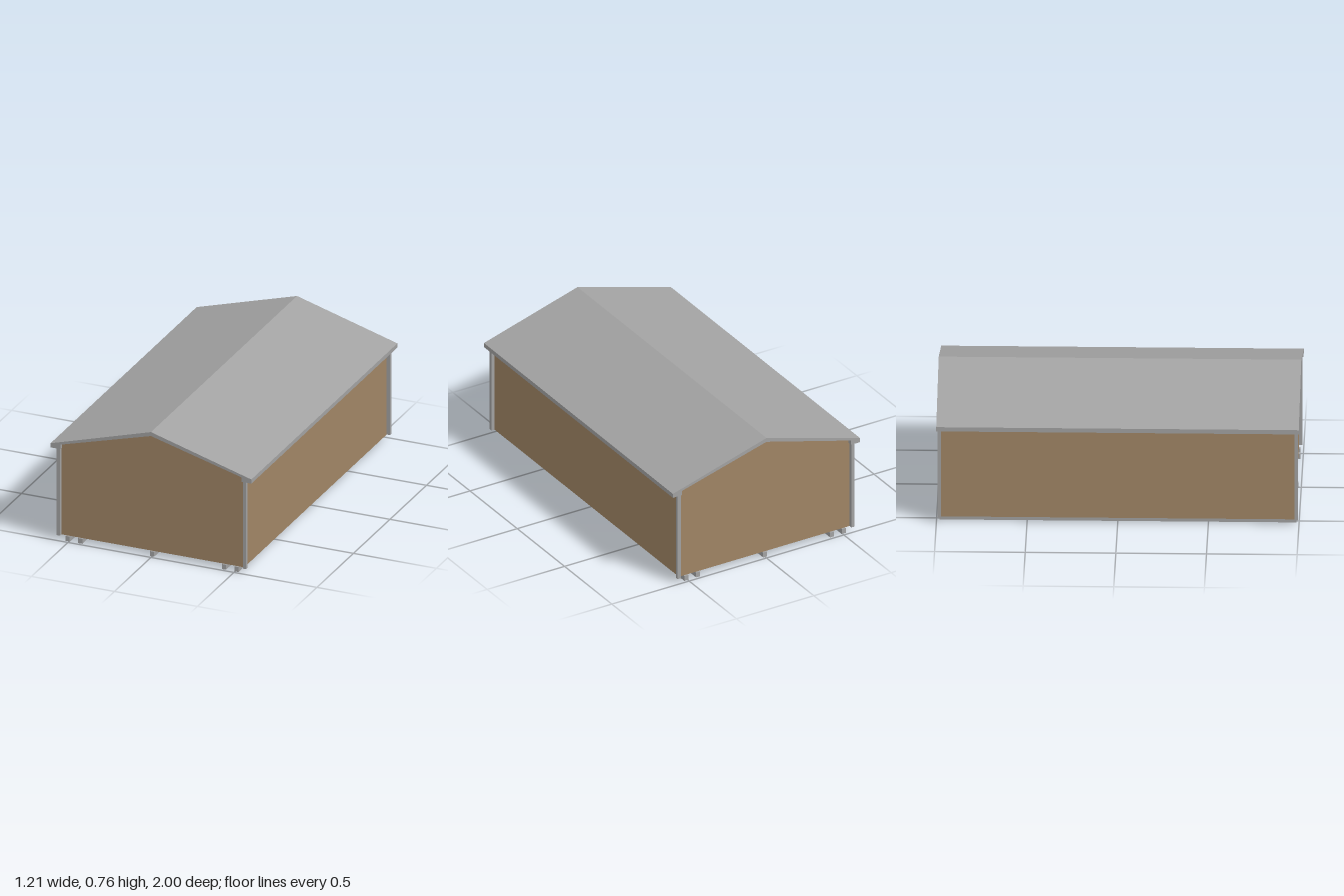
import * as THREE from 'three';

const metal = new THREE.MeshStandardMaterial({ color: 0xa2a2a2 });
metal.name = 'grey metal';
const panel = new THREE.MeshStandardMaterial({ color: 0xa08565, side: THREE.DoubleSide });
panel.name = 'tan panel';

const WALL_X = 0.551, WALL_Z = 0.975;   // wall planes
const FLOOR = 0.03, EAVE = 0.575, PEAK = 0.733;

export function createModel() {
  const group = new THREE.Group();

  const add = (name, geometry, material, x = 0, y = 0, z = 0) => {
    const mesh = new THREE.Mesh(geometry, material);
    mesh.name = name;
    mesh.position.set(x, y, z);
    group.add(mesh);
    return mesh;
  };
  const outline = (points) => new THREE.Shape(points.map(([x, y]) => new THREE.Vector2(x, y)));

  // Gable end walls, thin sheets
  const gable = new THREE.ShapeGeometry(outline([
    [-WALL_X, FLOOR], [WALL_X, FLOOR], [WALL_X, EAVE], [0, PEAK], [-WALL_X, EAVE],
  ]));
  add('frontWall', gable, panel, 0, 0, WALL_Z);
  add('backWall', gable, panel, 0, 0, -WALL_Z).rotation.y = Math.PI;

  // Long side walls and sloping ceiling sheets; the underside stays open
  const sideWall = new THREE.PlaneGeometry(2 * WALL_Z, EAVE - FLOOR);
  const slope = Math.atan2(PEAK - EAVE, WALL_X);
  const ceiling = new THREE.PlaneGeometry(Math.hypot(WALL_X, PEAK - EAVE), 2 * WALL_Z);
  ceiling.rotateX(-Math.PI / 2);
  for (const side of [-1, 1]) {
    const name = side > 0 ? 'left' : 'right';
    add(name + 'Wall', sideWall, panel, side * WALL_X, (EAVE + FLOOR) / 2, 0)
      .rotation.y = side * Math.PI / 2;
    add(name + 'Ceiling', ceiling, panel, side * WALL_X / 2, (EAVE + PEAK) / 2, 0)
      .rotation.z = -side * slope;
  }

  // Roof with deeper eaves, extruded along the length
  const roof = new THREE.ExtrudeGeometry(outline([
    [-0.605, 0.556], [-0.546, 0.556], [-0.546, 0.583], [0, PEAK + 0.001],
    [0.546, 0.583], [0.546, 0.556], [0.605, 0.556], [0.605, 0.581], [0, 0.758], [-0.605, 0.581],
  ]), { depth: 2, bevelEnabled: false });
  roof.translate(0, 0, -1);
  add('roof', roof, metal);

  // Corner posts just outside the walls
  const post = new THREE.BoxGeometry(0.02, 0.526, 0.02);
  for (const x of [-1, 1]) {
    for (const z of [-1, 1]) {
      add('cornerPost', post, metal, x * 0.561, FLOOR + 0.263, z * 0.985);
    }
  }

  // Runners under the building
  const runner = new THREE.BoxGeometry(0.025, FLOOR, 1.97);
  for (const x of [-0.509, -0.433, 0, 0.433, 0.509]) {
    add('floorRunner', runner, metal, x, FLOOR / 2, 0);
  }

  return group;
}
